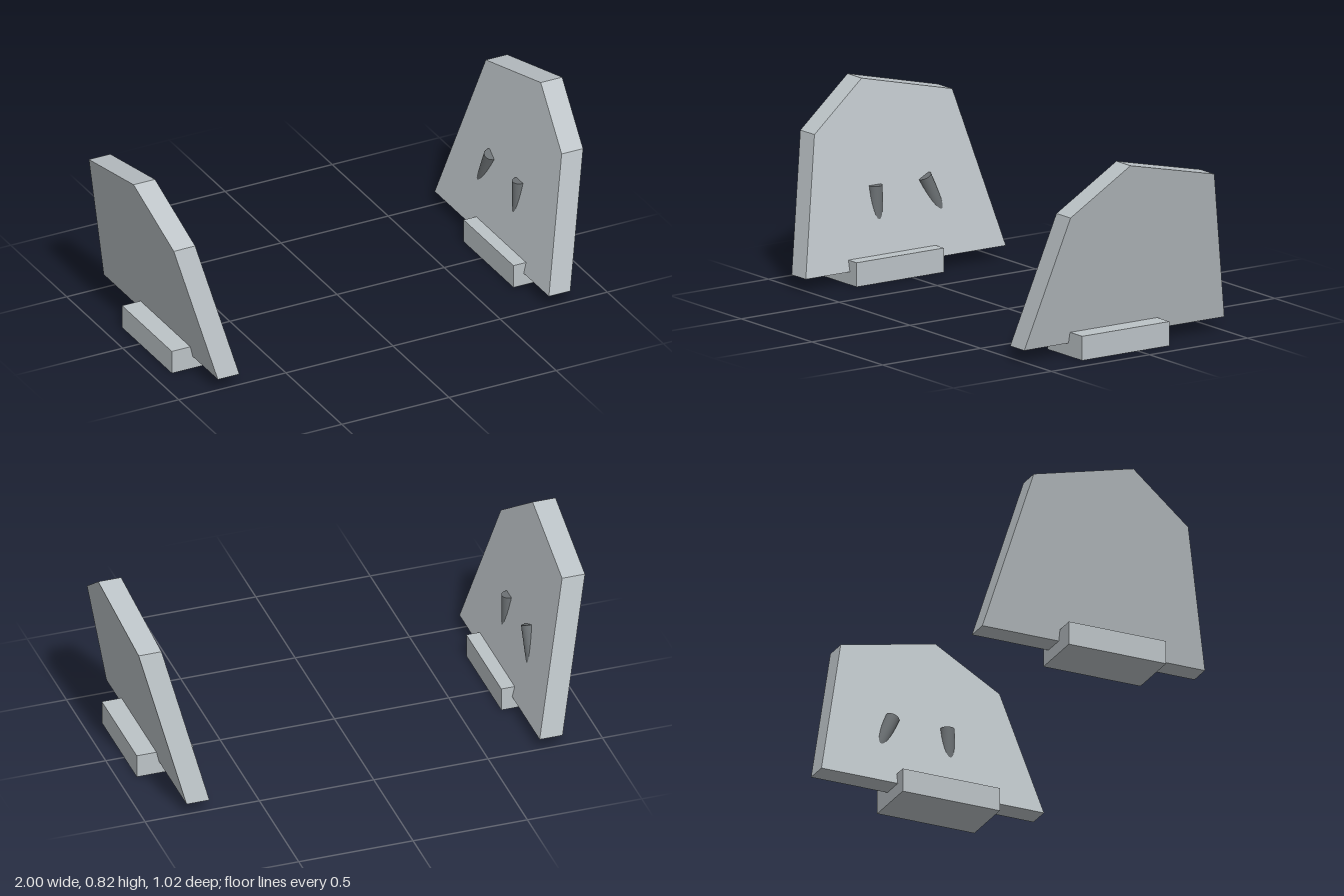
import * as THREE from 'three';

const paleGrey = new THREE.MeshStandardMaterial({ color: 0xbcc3c7 });
paleGrey.name = 'paleGrey';
const darkGrey = new THREE.MeshStandardMaterial({ color: 0x6c7174 });
darkGrey.name = 'darkGrey';

// panel outline as [z, y]
const OUTLINE = [[0.51, 0.055], [0.37, 0.625], [0.097, 0.818], [-0.348, 0.715], [-0.51, 0.055]];
const THICKNESS = 0.1;

function addMesh(group, name, geometry, material) {
  const mesh = new THREE.Mesh(geometry, material);
  mesh.name = name;
  group.add(mesh);
  return mesh;
}

// flat slab leaning outward, its faces sheared so the thickness stays level
function panelGeometry(side) {
  const shape = new THREE.Shape(OUTLINE.map(([z, y]) => new THREE.Vector2(-z, y)));
  const geometry = new THREE.ExtrudeGeometry(shape, { depth: THICKNESS, bevelEnabled: false });
  geometry.translate(0, 0, -THICKNESS / 2).rotateY(Math.PI / 2);
  const p = geometry.attributes.position;
  for (let i = 0; i < p.count; i++) {
    p.setX(i, p.getX(i) + side * (0.772 + 0.233 * (p.getY(i) - 0.055)));
  }
  geometry.computeVertexNormals();
  return geometry;
}

// peg half sunk into the inner face, hung from the centre of its top cap
function pegGeometry() {
  return new THREE.CylinderGeometry(0.03, 0.03, 0.18, 24).translate(0, -0.09, 0);
}

function createSide(side, name) {
  const group = new THREE.Group();
  group.name = name;
  addMesh(group, 'panel', panelGeometry(side), paleGrey);

  const foot = addMesh(group, 'foot', new THREE.BoxGeometry(0.245, 0.103, 0.445), paleGrey);
  foot.position.set(side * 0.797, 0.0515, 0.0625);

  const frontPeg = addMesh(group, 'frontPeg', pegGeometry(), darkGrey);
  frontPeg.position.set(side * 0.796, 0.385, 0.102);

  const backPeg = addMesh(group, 'backPeg', pegGeometry(), darkGrey);
  backPeg.position.set(side * 0.796, 0.388, -0.148);
  backPeg.rotation.x = 0.43;
  return group;
}

export function createModel() {
  const model = new THREE.Group();
  model.name = 'leaningPanels';
  model.add(createSide(1, 'leftSide'), createSide(-1, 'rightSide'));
  return model;
}
